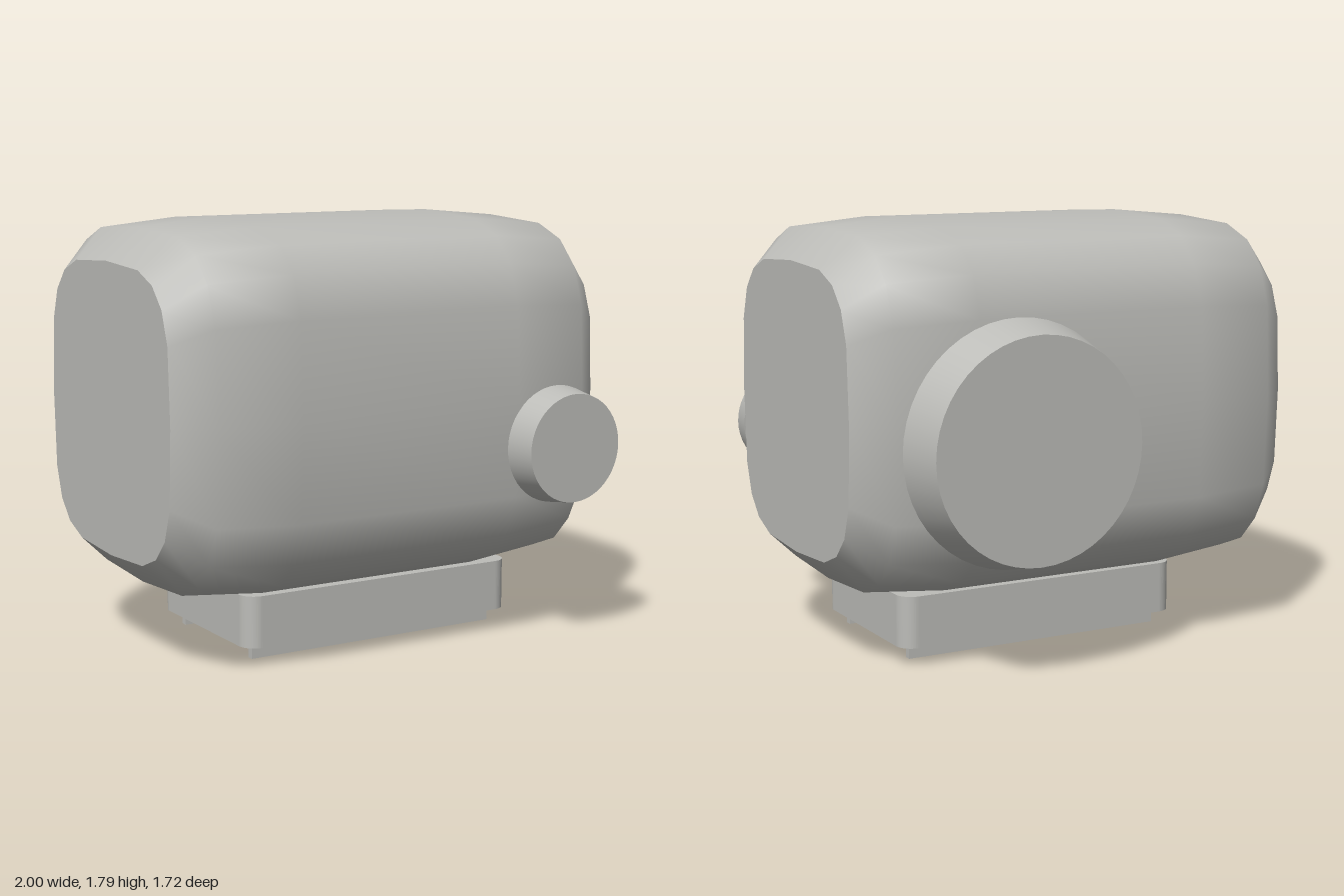
import * as THREE from 'three';

export function createModel() {
  const model = new THREE.Group();
  const grey = new THREE.MeshStandardMaterial({ color: 0xbcbcb8 });
  grey.name = 'light grey';
  const CY = 1.035, CZ = 0.026, SIDES = 20;

  const add = (name, geometry, x = 0, y = 0, z = 0) => {
    const mesh = new THREE.Mesh(geometry, grey);
    mesh.name = name;
    mesh.position.set(x, y, z);
    model.add(mesh);
    return mesh;
  };

  // Rounded-square cross-section point: [z, y] for half depth and half height
  const soft = (v) => Math.sign(v) * Math.pow(Math.abs(v), 0.55);
  const sectionPoint = (i, depth, height) => {
    const a = (i / SIDES) * Math.PI * 2;
    return [depth * soft(Math.cos(a)), height * soft(Math.sin(a))];
  };

  // Housing shell: cross-sections swept along x as [x, half depth, half height]
  const stations = [
    [-1, 0.552, 0.595], [-0.86, 0.67, 0.723], [-0.51, 0.705, 0.755],
    [0.51, 0.705, 0.755], [0.86, 0.67, 0.723], [1, 0.552, 0.595],
  ];
  const positions = [], index = [];
  for (const [x, depth, height] of stations) {
    for (let i = 0; i < SIDES; i++) {
      const [z, y] = sectionPoint(i, depth, height);
      positions.push(x, y, z);
    }
  }
  for (let s = 0; s < stations.length - 1; s++) {
    for (let i = 0; i < SIDES; i++) {
      const a = s * SIDES + i, b = s * SIDES + ((i + 1) % SIDES);
      const c = a + SIDES, d = b + SIDES;
      index.push(a, c, b, b, c, d);
    }
  }
  const shell = new THREE.BufferGeometry();
  shell.setAttribute('position', new THREE.Float32BufferAttribute(positions, 3));
  shell.setIndex(index);
  shell.computeVertexNormals();
  add('housing', shell, 0, CY, CZ);

  // Flat end panels
  const panel = new THREE.Shape();
  for (let i = 0; i < SIDES; i++) {
    const [z, y] = sectionPoint(i, 0.552, 0.595);
    if (i) panel.lineTo(z, y); else panel.moveTo(z, y);
  }
  for (const side of [-1, 1]) {
    const end = add(side > 0 ? 'leftEndPanel' : 'rightEndPanel',
      new THREE.ShapeGeometry(panel), side, CY, CZ);
    end.rotation.y = side * Math.PI / 2;
  }

  // Tapered round bosses; the narrow end faces outward
  const boss = (name, rOuter, rInner, depth, x, y, z, dir) => {
    const mesh = add(name, new THREE.CylinderGeometry(rOuter, rInner, depth, 48), x, y, z);
    mesh.rotation.x = dir * Math.PI / 2;
  };
  boss('frontKnob', 0.225, 0.245, 0.13, 0.702, 0.85, 0.793, 1);
  boss('rearDial', 0.45, 0.497, 0.187, 0.349, 0.938, -0.765, -1);

  // Foot block with rounded vertical corners
  const w = 0.645, d = 0.386, r = 0.07;
  const plan = new THREE.Shape();
  plan.moveTo(-w + r, -d);
  plan.absarc(w - r, -d + r, r, -Math.PI / 2, 0);
  plan.absarc(w - r, d - r, r, 0, Math.PI / 2);
  plan.absarc(-w + r, d - r, r, Math.PI / 2, Math.PI);
  plan.absarc(-w + r, -d + r, r, Math.PI, Math.PI * 1.5);
  const foot = add('footBlock', new THREE.ExtrudeGeometry(plan,
    { depth: 0.215, bevelEnabled: false, curveSegments: 8 }), 0.056, 0.078, 0.03);
  foot.rotation.x = -Math.PI / 2;

  // Rails and hexagonal peg under the foot
  for (const [name, z] of [['frontRail', 0.328], ['rearRail', -0.266]]) {
    add(name, new THREE.BoxGeometry(1.17, 0.07, 0.03), 0.056, 0.05, z);
  }
  const peg = new THREE.CylinderGeometry(0.064, 0.064, 0.085, 6).toNonIndexed();
  peg.computeVertexNormals();
  add('hexPeg', peg, -0.355, 0.0425, 0.03);

  return model;
}
